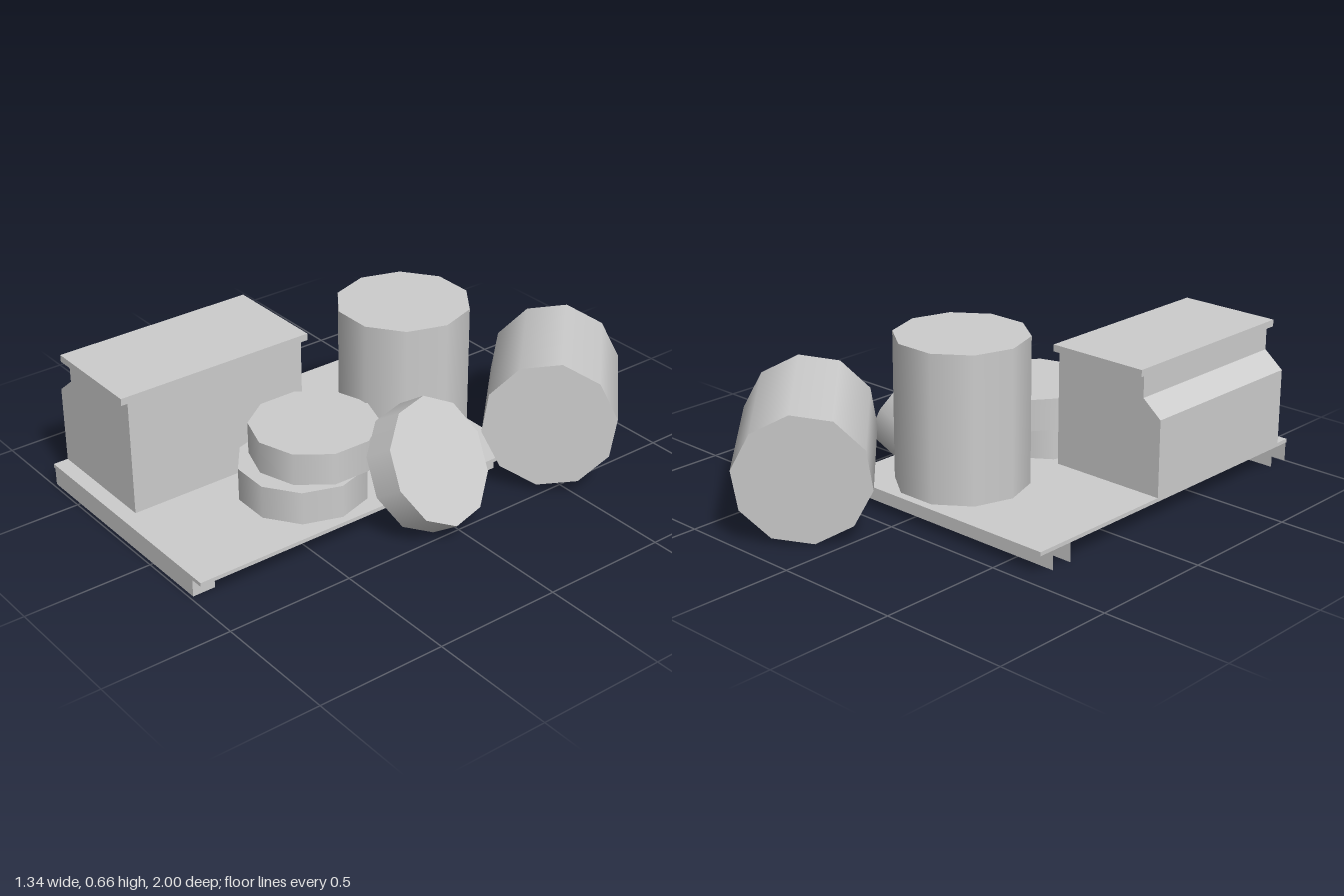
import * as THREE from 'three';

const grey = new THREE.MeshStandardMaterial({ color: 0xcccccc });
grey.name = 'plain grey';
grey.side = THREE.DoubleSide;

function mesh(name, geometry, parent) {
  const m = new THREE.Mesh(geometry, grey);
  m.name = name;
  parent.add(m);
  return m;
}

// Box given by its limits on each axis
function block(name, [x0, x1], [y0, y1], [z0, z1], parent) {
  const m = mesh(name, new THREE.BoxGeometry(x1 - x0, y1 - y0, z1 - z0), parent);
  m.position.set((x0 + x1) / 2, (y0 + y1) / 2, (z0 + z1) / 2);
}

// Ten-sided drum along an axis, with one corner turned toward cornerDir
function drum(name, centre, axis, cornerDir, radius, length, parent) {
  const m = mesh(name, new THREE.CylinderGeometry(radius, radius, length, 10), parent);
  const y = new THREE.Vector3(...axis).normalize();
  const x = new THREE.Vector3().crossVectors(y, new THREE.Vector3(...cornerDir)).normalize();
  const z = new THREE.Vector3().crossVectors(x, y);
  m.quaternion.setFromRotationMatrix(new THREE.Matrix4().makeBasis(x, y, z));
  m.position.set(...centre);
}

// Thin upright sheet, width along x, turned about y
function sheet(name, width, height, x, y, z, turn, parent) {
  const m = mesh(name, new THREE.PlaneGeometry(width, height), parent);
  m.position.set(x, y, z);
  m.rotation.y = turn;
}

export function createModel() {
  const model = new THREE.Group();
  model.name = 'loadedPallet';

  // Platform on two hollow runners, open below and at the -x end
  block('platform', [-0.67, 0.32], [0.085, 0.1], [-0.445, 0.995], model);
  for (const [name, z] of [['frontRunner', 0.945], ['backRunner', -0.335]]) {
    const runner = new THREE.Group();
    runner.name = name;
    model.add(runner);
    sheet('runnerFrontWall', 0.93, 0.075, -0.205, 0.0475, z + 0.045, 0, runner);
    sheet('runnerBackWall', 0.93, 0.075, -0.205, 0.0475, z - 0.045, Math.PI, runner);
    sheet('runnerEnd', 0.09, 0.075, 0.26, 0.0475, z, Math.PI / 2, runner);
  }

  // Cabinet with a sloped shoulder, and its lid
  const profile = new THREE.Shape([
    [-0.67, 0.1], [-0.19, 0.1], [-0.19, 0.555], [-0.59, 0.555], [-0.59, 0.465], [-0.67, 0.4],
  ].map(([x, y]) => new THREE.Vector2(x, y)));
  const body = mesh('cabinetBody',
    new THREE.ExtrudeGeometry(profile, { depth: 0.745, bevelEnabled: false }), model);
  body.position.z = 0.19;
  block('cabinetLid', [-0.6, -0.185], [0.553, 0.58], [0.163, 0.963], model);

  // Standing and fallen barrels
  drum('standingBarrel', [-0.037, 0.385, -0.17], [0, 1, 0], [1, 0, 0], 0.253, 0.57, model);
  drum('fallenBarrel', [0.301, 0.27, -0.629], [0.3925, 0.03, 0.3925], [0.02, 0.25, -0.033], 0.252, 0.557, model);

  // Two stacked discs and one leaning against the platform
  drum('lowerDisc', [0.045, 0.165, 0.36], [0, 1, 0], [1, 0, 0.02], 0.245, 0.13, model);
  drum('upperDisc', [0.037, 0.2925, 0.302], [0, 1, 0], [-0.01, 0, 1], 0.241, 0.125, model);
  drum('leaningDisc', [0.378, 0.242, 0.046], [0.81, 0.54, -0.2], [-0.138, 0.195, -0.033], 0.241, 0.124, model);

  return model;
}
